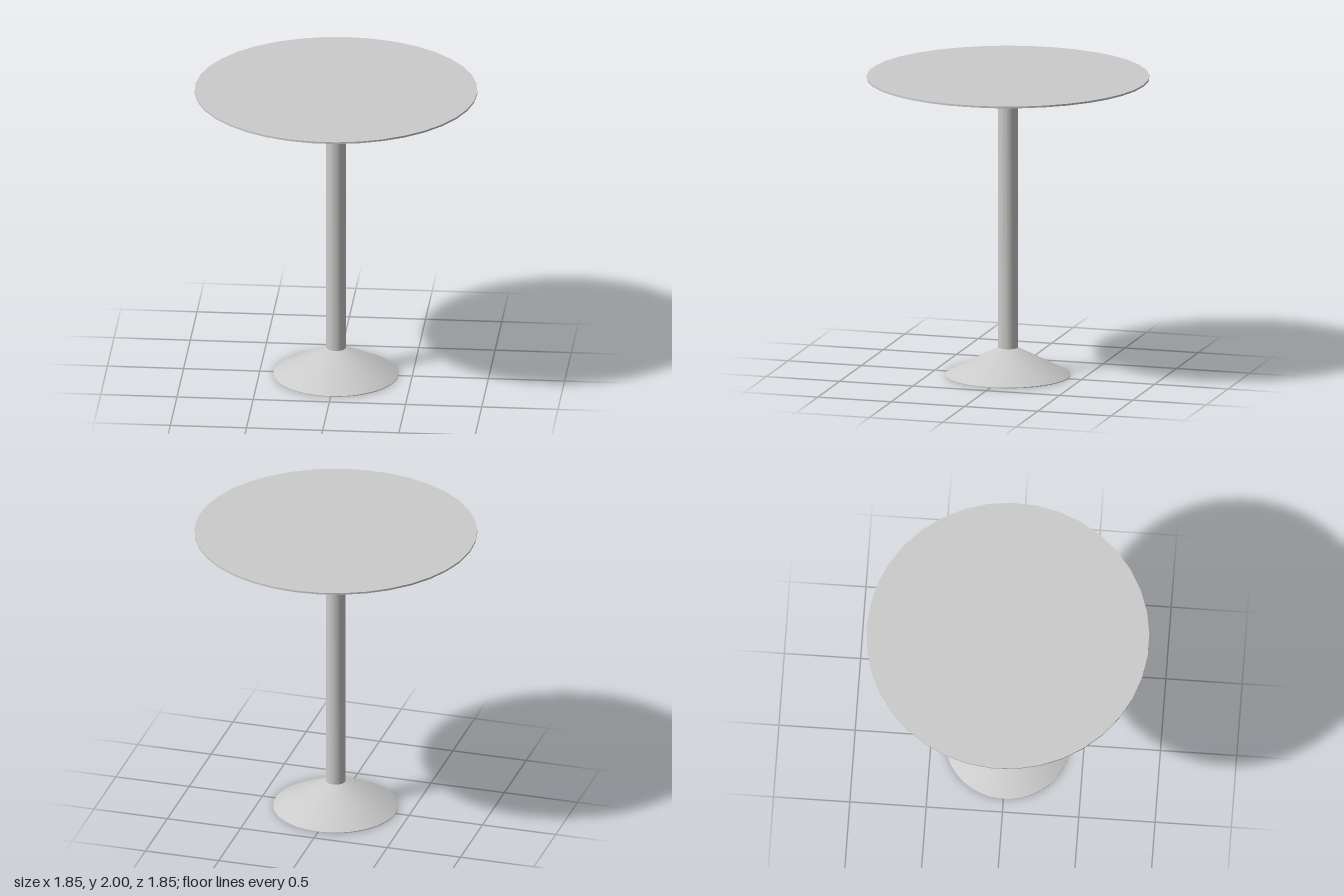
import * as THREE from 'three';
import { toCreasedNormals } from 'three/addons/utils/BufferGeometryUtils.js';

const SIDES = 37;

export function createModel() {
  const group = new THREE.Group();
  group.name = 'pedestalTable';
  const material = new THREE.MeshStandardMaterial({ color: 0xcccccc });

  // Turns a profile of [radius, height] points, listed from bottom to top
  function addTurned(name, profile) {
    const points = profile.map(([r, y]) => new THREE.Vector2(r, y));
    const geometry = toCreasedNormals(new THREE.LatheGeometry(points, SIDES), 0.5);
    geometry.rotateY(Math.PI); // one corner points to the back
    const mesh = new THREE.Mesh(geometry, material);
    mesh.name = name;
    group.add(mesh);
  }

  // Conical foot, closed underneath
  addTurned('base', [[0, 0], [0.41, 0], [0.41, 0.005], [0.065, 0.185], [0, 0.185]]);

  // Straight column
  addTurned('column', [[0, 0.185], [0.065, 0.185], [0.065, 1.986], [0, 1.986]]);

  // Thin round top with a very slightly dished underside
  addTurned('tabletop', [[0, 1.983], [0.925, 1.988], [0.925, 2], [0, 2]]);

  return group;
}
